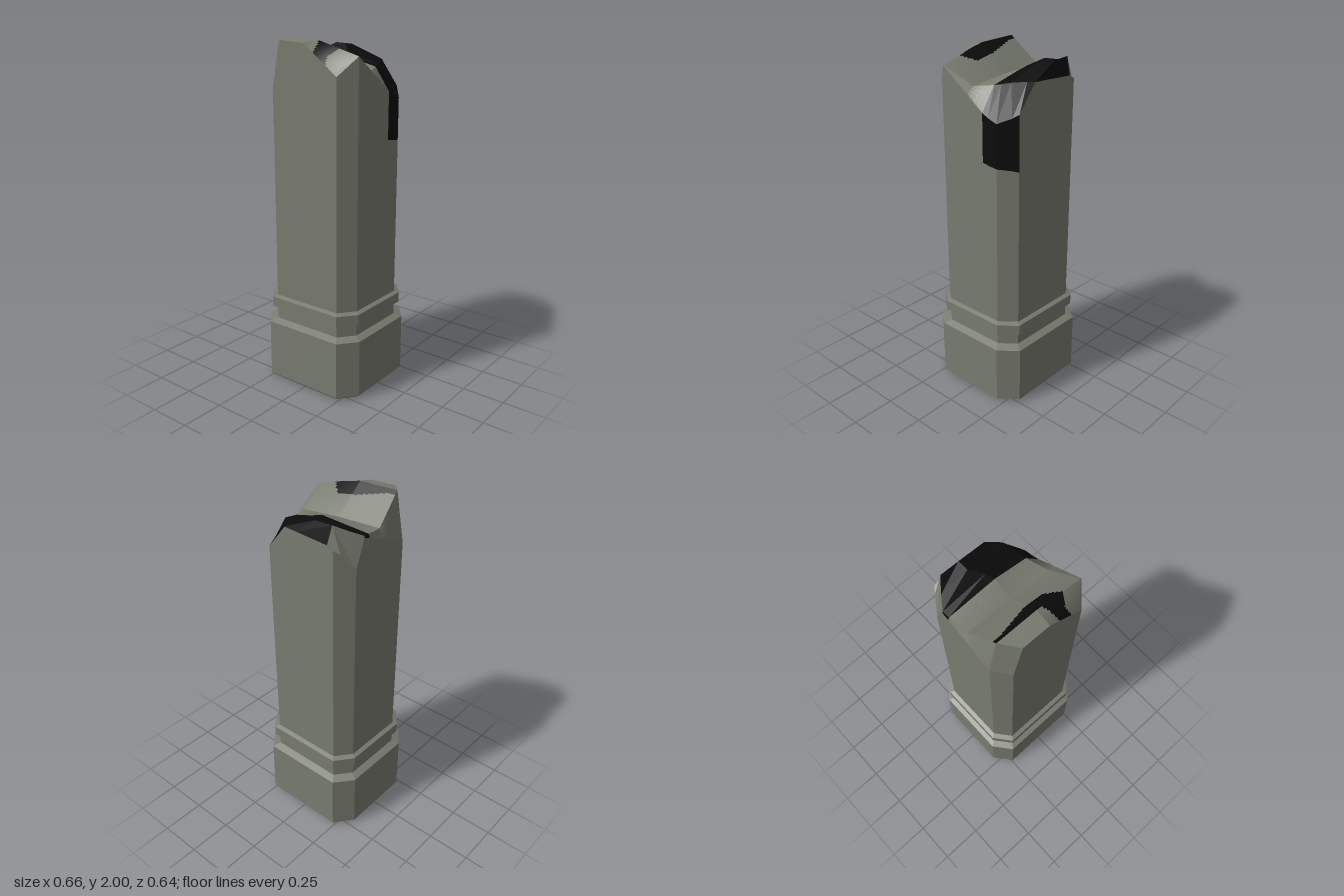
import * as THREE from 'three';

const stone = new THREE.MeshStandardMaterial({ color: 0x787b6f });
stone.name = 'grey stone';
const soot = new THREE.MeshStandardMaterial({ color: 0x0b0b0b });
soot.name = 'black soot';

// Collects flat quads and turns them into one mesh
class Facets {
  constructor() { this.pos = []; }
  tri(a, b, c) { this.pos.push(...a, ...b, ...c); }
  quad(a, b, c, d) { this.tri(a, b, c); this.tri(a, c, d); }
  mesh(name, material) {
    const g = new THREE.BufferGeometry();
    g.setAttribute('position', new THREE.Float32BufferAttribute(this.pos, 3));
    g.computeVertexNormals();
    const m = new THREE.Mesh(g, material);
    m.name = name;
    return m;
  }
}

// Chamfered rectangle, grown outwards by o, counterclockwise from above
function octagon(o, y) {
  const X = 0.29 + o, Z = 0.278 + o, x = 0.217 + 0.7 * o, z = 0.188 + 0.68 * o;
  return [[X, z], [X, -z], [x, -Z], [-x, -Z], [-X, -z], [-X, z], [-x, Z], [x, Z]]
    .map(([px, pz]) => [px, y, pz]);
}

// Stacked octagons from [offset, height] pairs
function loft(name, profile, closeBottom) {
  const f = new Facets();
  const rings = profile.map(([o, y]) => octagon(o, y));
  for (let r = 0; r < rings.length - 1; r++) {
    for (let i = 0; i < 8; i++) {
      const j = (i + 1) % 8;
      f.quad(rings[r][i], rings[r][j], rings[r + 1][j], rings[r + 1][i]);
    }
  }
  if (closeBottom) {
    for (let i = 1; i < 7; i++) f.tri(rings[0][0], rings[0][i + 1], rings[0][i]);
  }
  return f.mesh(name, stone);
}

// Broken top: rows from front to back, each z then five [x, y] points
const rows = [
  [0.278, [-0.217, 1.72], [-0.165, 1.98], [0, 1.97], [0.2, 1.823], [0.217, 1.81]],
  [0.188, [-0.29, 1.73], [-0.24, 2], [0, 1.99], [0.285, 1.912], [0.29, 1.91]],
  [0.02, [-0.29, 1.81], [-0.265, 1.86], [0, 1.845], [0.24, 1.82], [0.29, 1.79]],
  [-0.09, [-0.29, 1.855], [-0.284, 1.875], [0, 1.885], [0.2, 1.836], [0.29, 1.71]],
  [-0.13, [-0.29, 1.87], [-0.287, 1.88], [-0.02, 1.91], [0.19, 1.845], [0.29, 1.69]],
  [-0.188, [-0.29, 1.72], [-0.243, 1.91], [-0.08, 1.945], [0.18, 1.86], [0.29, 1.67]],
  [-0.25, [-0.24, 1.81], [-0.19, 1.946], [-0.08, 1.94], [0.13, 1.865], [0.24, 1.7]],
  [-0.278, [-0.217, 1.83], [-0.18, 1.85], [0.02, 1.86], [0.1, 1.863], [0.217, 1.72]],
].map(([z, ...pts]) => pts.map(([x, y]) => [x, y, z]));

// Outline of the soot stain on the front ridge, as [x, z]
const stain = [[-0.245, 0.165], [-0.2, 0.167], [0, 0.122], [0.095, 0.122], [0.167, 0.188],
  [0.132, 0.24], [0.146, 0.28], [0.064, 0.28], [0.05, 0.22], [0.03, 0.188], [-0.245, 0.188]];

function inStain(x, z) {
  let inside = false;
  stain.forEach(([ax, az], i) => {
    const [bx, bz] = stain[(i + 1) % stain.length];
    if ((az > z) !== (bz > z) && x < ax + (z - az) / (bz - az) * (bx - ax)) inside = !inside;
  });
  return inside;
}

const mix = (a, b, t) => a.map((v, i) => v + (b[i] - v) * t);

function brokenTop() {
  const clean = new Facets(), dark = new Facets();
  for (let r = 0; r < rows.length - 1; r++) {
    for (let c = 0; c < 4; c++) {
      const [A, B, C, D] = [rows[r][c], rows[r][c + 1], rows[r + 1][c + 1], rows[r + 1][c]];
      if (r >= 3) {
        // Back ridge is sooty apart from its chipped corner
        (c === 0 && r >= 4 ? clean : dark).quad(A, B, C, D);
        continue;
      }
      // Finer facets so the stain follows its outline
      const n = r < 2 && (c === 1 || c === 2) ? 24 : 4;
      const at = (u, v) => mix(mix(A, B, u / n), mix(D, C, u / n), v / n);
      for (let u = 0; u < n; u++) {
        for (let v = 0; v < n; v++) {
          const [x, , z] = at(u + 0.5, v + 0.5);
          (inStain(x, z) ? dark : clean)
            .quad(at(u, v), at(u + 1, v), at(u + 1, v + 1), at(u, v + 1));
        }
      }
    }
  }
  return [clean.mesh('brokenTop', stone), dark.mesh('topSoot', soot)];
}

function shaftWalls() {
  const clean = new Facets(), dark = new Facets();
  const last = rows.length - 1;
  const rim = [
    ...rows.map((row) => row[4]),
    ...rows[last].slice(1, 4).reverse(),
    ...rows.map((row) => row[0]).reverse(),
    ...rows[0].slice(1, 4),
  ];
  const drop = (p, y) => [p[0], y, p[2]];
  rim.forEach((a, i) => {
    const b = rim[(i + 1) % rim.length];
    // Soot runs down the back of the left side and its chamfer
    const sooty = i >= 3 && i < last;
    const ya = sooty ? 1.445 - 0.03 * (i - 3) / 4 : a[1];
    const yb = sooty ? 1.445 - 0.03 * (i - 2) / 4 : b[1];
    clean.quad(drop(a, 0.5), drop(b, 0.5), drop(b, yb), drop(a, ya));
    if (sooty) dark.quad(drop(a, ya), drop(b, yb), b, a);
  });
  return [clean.mesh('shaft', stone), dark.mesh('shaftSoot', soot)];
}

export function createModel() {
  const pillar = new THREE.Group();
  pillar.name = 'brokenPillar';
  pillar.add(
    loft('base', [[0.018, 0], [0.04, 0.02], [0.04, 0.357], [0, 0.375]], true),
    loft('neck', [[0, 0.37], [0, 0.446]]),
    loft('collar', [[0, 0.445], [0.024, 0.453], [0.024, 0.512], [0, 0.522]]),
    ...shaftWalls(),
    ...brokenTop(),
  );
  return pillar;
}
